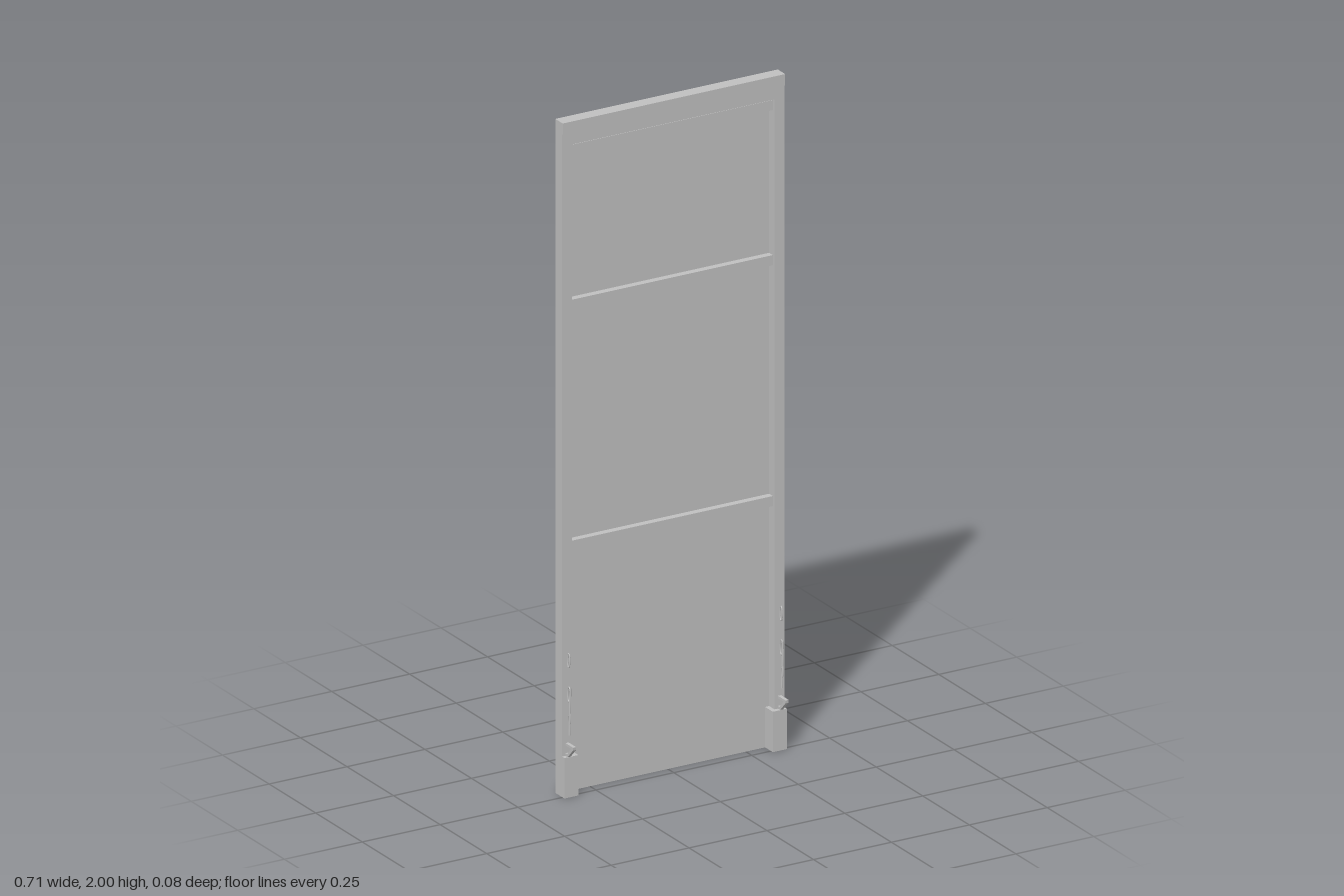
import * as THREE from 'three';

export function createModel() {
  const model = new THREE.Group();
  model.name = 'framedPanel';
  const grey = new THREE.MeshStandardMaterial({ color: 0xc0c0c0 });
  grey.name = 'grey metal';

  function add(name, geometry, parent = model) {
    const mesh = new THREE.Mesh(geometry, grey);
    mesh.name = name;
    parent.add(mesh);
    return mesh;
  }

  // box given by its lower and upper corners
  function box(name, x0, x1, y0, y1, z0, z1, parent) {
    const mesh = add(name, new THREE.BoxGeometry(x1 - x0, y1 - y0, z1 - z0), parent);
    mesh.position.set((x0 + x1) / 2, (y0 + y1) / 2, (z0 + z1) / 2);
    return mesh;
  }

  // back sheet and header
  box('backPanel', -0.357, 0.357, 0, 2, -0.039, -0.032);
  box('topBeam', -0.357, 0.357, 1.967, 2, -0.032, 0.001);
  box('header', -0.325, 0.325, 1.93, 1.967, -0.032, -0.003);

  // cross ribs
  for (const y of [0.72, 1.435, 1.895]) {
    box('crossRib', -0.325, 0.325, y, y + 0.03, -0.032, -0.012);
  }

  // closed oval link standing in the y-z plane
  function link(name, x, y, z, ry, rz, parent) {
    const points = [];
    for (let i = 0; i < 12; i++) {
      const a = (i / 12) * Math.PI * 2;
      points.push(new THREE.Vector3(x, y + Math.sin(a) * ry, z + Math.cos(a) * rz));
    }
    const path = new THREE.CatmullRomCurve3(points, true);
    add(name, new THREE.TubeGeometry(path, 24, 0.002, 6, true), parent);
  }

  for (const s of [-1, 1]) {
    const side = new THREE.Group();
    side.name = s > 0 ? 'leftSide' : 'rightSide';
    const x = s * 0.341;

    const span = (a, b) => (s > 0 ? [a, b] : [-b, -a]);
    box('post', ...span(0.325, 0.357), 0, 1.967, -0.032, -0.003, side);
    box('foot', ...span(0.312, 0.357), 0, 0.12, -0.032, 0.01, side);

    // latch: eyelets, pull rod and hook
    link('upperEyelet', x, 0.405, 0.006, 0.021, 0.006, side);
    link('lowerEyelet', x, 0.305, 0.008, 0.022, 0.007, side);
    const rod = new THREE.LineCurve3(
      new THREE.Vector3(x, 0.185, 0.01), new THREE.Vector3(x, 0.325, 0.015));
    add('pullRod', new THREE.TubeGeometry(rod, 1, 0.003, 8, false), side);
    link('rodLoop', x, 0.235, 0.012, 0.018, 0.003, side);

    const profile = new THREE.Shape([
      [-0.003, 0.12], [0.009, 0.12], [0.037, 0.149], [0.038, 0.158],
      [-0.003, 0.158], [-0.003, 0.151], [0.027, 0.151], [0.006, 0.128], [-0.003, 0.128],
    ].map(([z, y]) => new THREE.Vector2(z, y)));
    const hook = add('hook', new THREE.ExtrudeGeometry(profile,
      { depth: 0.01, bevelEnabled: false }), side);
    hook.rotation.y = -Math.PI / 2;
    hook.position.x = x + 0.005;
    model.add(side);
  }
  return model;
}
